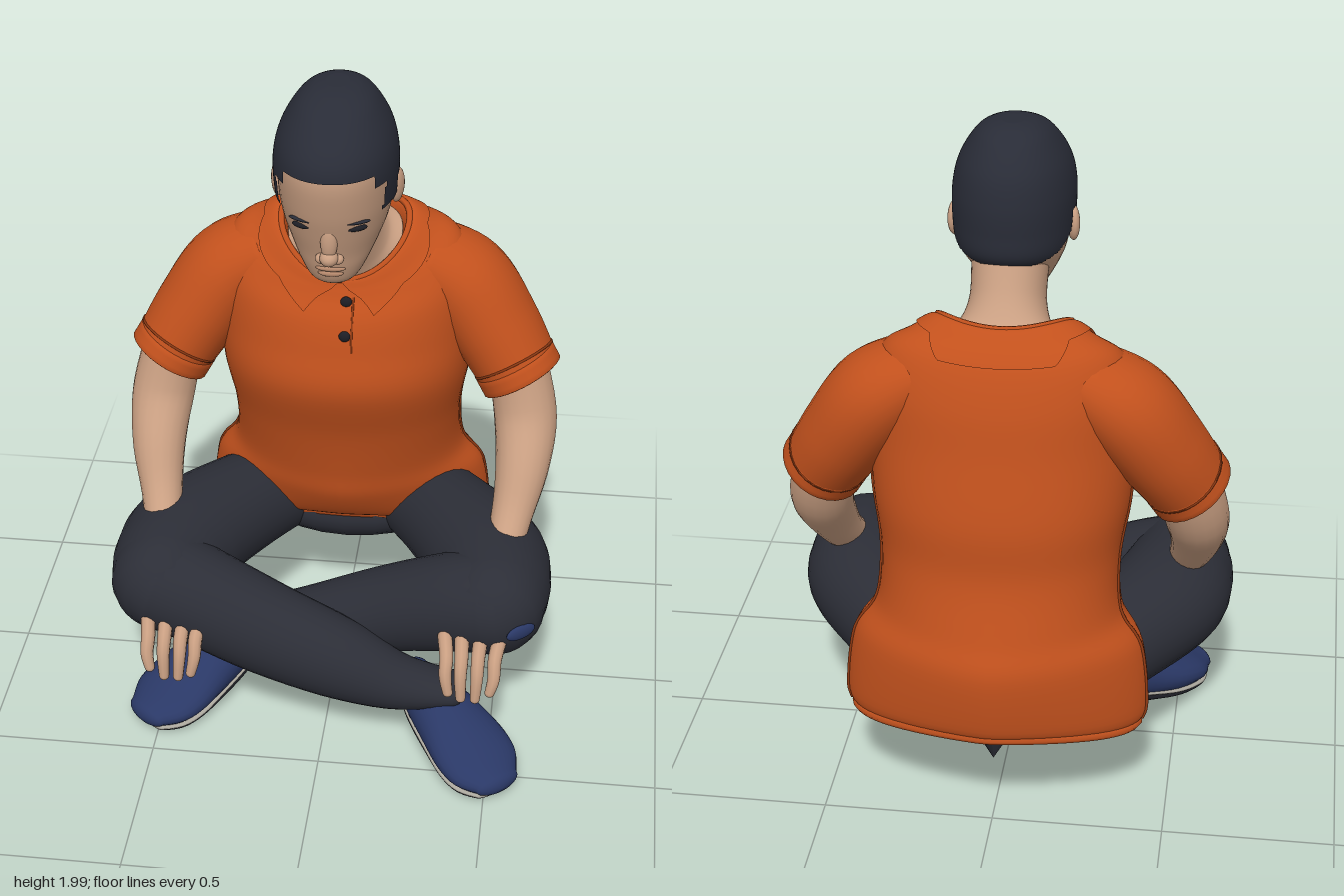
import * as THREE from 'three';

const mat = (name, color, extra) => Object.assign(new THREE.MeshStandardMaterial({ color, ...extra }), { name });

// Catmull-Rom through rows of numbers, u in 0..1
function spline(rows, u) {
  const n = rows.length, s = u * (n - 1), i = Math.min(Math.floor(s), n - 2), f = s - i;
  const at = (k) => rows[Math.max(0, Math.min(n - 1, k))];
  const [a, b, c, d] = [at(i - 1), at(i), at(i + 1), at(i + 2)];
  return b.map((_, k) => b[k] + 0.5 * f * (c[k] - a[k] + f * (2 * a[k] - 5 * b[k] + 4 * c[k] - d[k]
    + f * (3 * (b[k] - c[k]) + d[k] - a[k]))));
}

// Skin closed rings into a smooth surface; keep() can trim faces
function skinRings(rings, keep, capped = true) {
  const m = rings[0].length, n = rings.length, pos = [], idx = [];
  rings.forEach((r) => r.forEach((p) => pos.push(p.x, p.y, p.z)));
  for (let i = 0; i < n - 1; i++) for (let j = 0; j < m; j++) {
    const k = (j + 1) % m, a = i * m + j, b = i * m + k, c = a + m, d = b + m;
    const mid = rings[i][j].clone().add(rings[i + 1][k]).multiplyScalar(0.5);
    if (!keep || keep(mid)) idx.push(a, c, b, b, c, d);
  }
  if (capped) [0, n - 1].forEach((i) => {
    const mid = rings[i].reduce((s, p) => s.add(p), new THREE.Vector3()).divideScalar(m);
    if (keep && !keep(mid)) return;
    const o = pos.length / 3;
    pos.push(mid.x, mid.y, mid.z);
    for (let j = 0; j < m; j++) {
      const a = i * m + j, b = i * m + (j + 1) % m;
      idx.push(o, ...(i ? [b, a] : [a, b]));
    }
  });
  const g = new THREE.BufferGeometry();
  g.setAttribute('position', new THREE.Float32BufferAttribute(pos, 3));
  g.setIndex(idx);
  g.computeVertexNormals();
  return g;
}

// Body section rows: [yFront, zFront, yBack, zBack, halfWidth, sideLift, roundness]
function bodyPoint(rows, u, a, grow = 0) {
  const [yF, zF, yB, zB, w, lift, e] = spline(rows, u);
  const pw = (v) => Math.sign(v) * Math.abs(v) ** e;
  const c = pw(Math.cos(a)), s = pw(Math.sin(a)), t = (1 + s) / 2;
  return new THREE.Vector3((w + grow) * c, yB + (yF - yB) * t + lift * c * c + grow * 0.6,
    zB - grow + (zF - zB + 2 * grow) * t);
}
const turn = (m, f) => Array.from({ length: m }, (_, j) => f(j / m * 2 * Math.PI));
function body(rows, { n = 48, m = 48, grow = 0, keep } = {}) {
  return skinRings(Array.from({ length: n + 1 }, (_, i) => turn(m, (a) => bodyPoint(rows, i / n, a, grow))), keep);
}

// Limb rows: [x, y, z, sideRadius, upRadius], with rounded ends
function limb(rows, { up = [0, 1, 0], cap = 0.9, n = 24, m = 20 } = {}) {
  const U = new THREE.Vector3(...up), rings = [];
  const ring = (u, bulge = 0, shrink = 1) => {
    const [x, y, z, rs, ru] = spline(rows, u);
    const p0 = spline(rows, Math.max(0, u - 0.01)), p1 = spline(rows, Math.min(1, u + 0.01));
    const t = new THREE.Vector3(p1[0] - p0[0], p1[1] - p0[1], p1[2] - p0[2]).normalize();
    const side = t.clone().cross(U).normalize(), v = side.clone().cross(t);
    rings.push(turn(m, (a) => new THREE.Vector3(x, y, z).addScaledVector(t, bulge * Math.min(rs, ru))
      .addScaledVector(side, rs * shrink * Math.cos(a)).addScaledVector(v, ru * shrink * Math.sin(a))));
  };
  const K = 5, q = (k) => (k / K) * Math.PI / 2 * 0.97;
  for (let k = K; k > 0; k--) ring(0, -cap * Math.sin(q(k)), Math.cos(q(k)));
  for (let i = 0; i <= n; i++) ring(i / n);
  for (let k = 1; k <= K; k++) ring(1, cap * Math.sin(q(k)), Math.cos(q(k)));
  return skinRings(rings);
}

const TORSO = [
  [0.43, -0.20, 0.34, -0.58, 0.40, -0.08, 1.25], [0.46, -0.14, 0.38, -0.61, 0.44, -0.06, 1.25],
  [0.56, -0.08, 0.55, -0.62, 0.42, 0, 1.2], [0.66, -0.06, 0.66, -0.58, 0.355, 0, 1.05],
  [0.82, -0.02, 0.82, -0.53, 0.345, 0, 0.95], [1.0, 0.04, 0.98, -0.52, 0.37, 0, 0.95],
  [1.13, 0.02, 1.17, -0.475, 0.375, 0, 0.95], [1.22, -0.005, 1.30, -0.445, 0.37, 0.05, 0.95],
  [1.28, -0.04, 1.41, -0.40, 0.335, 0.065, 0.95], [1.31, -0.055, 1.47, -0.35, 0.26, 0.06, 0.95],
  [1.335, -0.07, 1.50, -0.305, 0.185, 0.062, 0.95], [1.29, -0.10, 1.44, -0.29, 0.165, 0.03, 0.95]];
const NECK = [
  [1.33, -0.08, 1.485, -0.30, 0.168, 0.035, 0.95], [1.375, -0.055, 1.515, -0.265, 0.13, 0.01, 0.95],
  [1.45, -0.01, 1.57, -0.225, 0.108, 0, 0.95], [1.53, 0.03, 1.66, -0.18, 0.108, 0, 0.95]];
const HEAD = [
  [1.435, 0.125, 1.445, 0.06, 0.035, 0, 0.95], [1.455, 0.155, 1.47, 0.01, 0.07, 0, 0.95],
  [1.50, 0.175, 1.53, -0.05, 0.10, 0, 0.95], [1.55, 0.19, 1.60, -0.14, 0.128, 0, 0.95],
  [1.62, 0.215, 1.65, -0.19, 0.15, 0, 0.95], [1.70, 0.24, 1.72, -0.197, 0.16, 0, 0.95],
  [1.80, 0.257, 1.80, -0.195, 0.16, 0, 0.95], [1.87, 0.235, 1.88, -0.175, 0.142, 0, 0.95],
  [1.94, 0.165, 1.95, -0.125, 0.10, 0, 0.95], [1.975, 0.09, 1.98, -0.075, 0.06, 0, 0.95],
  [1.988, 0.03, 1.99, -0.03, 0.02, 0, 0.95]];
const SHOE = [
  [0.26, 0.15, 0.24, 0.055, 0.05], [0.30, 0.135, 0.29, 0.08, 0.08], [0.365, 0.108, 0.37, 0.10, 0.085],
  [0.44, 0.075, 0.455, 0.122, 0.068], [0.495, 0.052, 0.53, 0.115, 0.05], [0.535, 0.042, 0.578, 0.075, 0.035]];
// Lower edge of the collar: [angle from the front, u on the torso]
const COLLAR = [[0, 0.89], [0.26, 0.665], [0.6, 0.77], [1.57, 0.85], [2.35, 0.82], [2.65, 0.74], [3.15, 0.74]];
function collarEdge(a) {
  const d = Math.abs(Math.atan2(Math.sin(a - Math.PI / 2), Math.cos(a - Math.PI / 2)));
  const k = COLLAR.findIndex((c) => c[0] > d), [p, q] = [COLLAR[k - 1], COLLAR[k]];
  return p[1] + (q[1] - p[1]) * (d - p[0]) / (q[0] - p[0]);
}

export function createModel() {
  const model = new THREE.Group();
  const skin = mat('skin', 0xc99f82), lip = mat('lips', 0xb5886c), hair = mat('hair', 0x292c37, { side: THREE.DoubleSide });
  const shirt = mat('shirtOrange', 0xc2511d, { side: THREE.DoubleSide }), seam = mat('shirtSeam', 0x8c3812);
  const pants = mat('pantsCharcoal', 0x2c2e37), dark = mat('darkDetail', 0x1d1e25);
  const shoe = mat('shoeBlue', 0x2a3866), pale = mat('midsoleGrey', 0xaaa69c);
  const add = (name, geo, m) => {
    const mesh = new THREE.Mesh(geo, m);
    mesh.name = name;
    model.add(mesh);
    return mesh;
  };
  const blob = (name, m, p, s, ry = 0) => {
    const b = add(name, new THREE.SphereGeometry(1, 20, 14), m);
    b.position.set(...p); b.scale.set(...s); b.rotation.y = ry;
  };
  const tube = (name, pts, r, m, closed = false) =>
    add(name, new THREE.TubeGeometry(new THREE.CatmullRomCurve3(pts, closed), 80, r, 6, closed), m);

  // Shirt body, folded collar, placket and buttons
  add('shirtBody', body(TORSO, { n: 66, m: 64 }), shirt);
  add('collar', skinRings(Array.from({ length: 15 }, (_, i) => turn(144, (a) => {
    const low = collarEdge(a);
    return bodyPoint(TORSO, low + (0.91 - low) * i / 14, a, 0.007);
  })), null, false), shirt);
  tube('collarRim', turn(40, (a) => bodyPoint(TORSO, 10 / 11, a, 0.002)), 0.01, shirt, true);
  tube('shirtHem', turn(40, (a) => bodyPoint(TORSO, 0.3 / 11, a, 0.004)), 0.014, shirt, true);
  const front = (y) => {
    let u = 0.4;
    while (u < 0.95 && bodyPoint(TORSO, u, Math.PI / 2).y < y) u += 0.002;
    return bodyPoint(TORSO, u, Math.PI / 2);
  };
  tube('placketEdge', [1.29, 1.24, 1.19, 1.14].map((y) => front(y).add(new THREE.Vector3(0.04, 0, -0.003))), 0.004, seam);
  [1.28, 1.19].forEach((y) => {
    const p = front(y);
    blob('button', dark, [0.02, y, p.z + 0.001], [0.017, 0.017, 0.01]);
  });
  [0.12, Math.PI - 0.12].forEach((a) => tube('sideSeam',
    Array.from({ length: 16 }, (_, i) => bodyPoint(TORSO, 0.06 + i / 15 * 0.46, -a, 0.001)), 0.005, seam));

  // Neck, head and hair
  add('neck', body(NECK), skin);
  add('head', body(HEAD), skin);
  add('hair', body(HEAD, {
    n: 120, m: 120, grow: 0.012,
    keep: ({ y, z }) => y > (z > 0.2 ? 1.815 : z > 0.155 ? 1.78 : z > 0.05 ? 1.69 : z > -0.03 ? 1.75 : 1.69 + (z + 0.03) * 0.44),
  }), hair);

  // Face
  blob('noseBridge', skin, [0, 1.61, 0.206], [0.024, 0.06, 0.02]);
  blob('noseTip', skin, [0, 1.558, 0.206], [0.026, 0.024, 0.028]);
  blob('upperLip', lip, [0, 1.508, 0.17], [0.042, 0.01, 0.014]);
  blob('lowerLip', lip, [0, 1.49, 0.165], [0.036, 0.011, 0.014]);
  for (const s of [-1, 1]) {
    blob('nostril', skin, [s * 0.022, 1.55, 0.194], [0.018, 0.015, 0.018]);
    blob('eye', dark, [s * 0.076, 1.652, 0.198], [0.03, 0.009, 0.011], s * 0.45);
    blob('eyebrow', hair, [s * 0.078, 1.672, 0.203], [0.038, 0.005, 0.01], s * 0.45);
    blob('ear', skin, [s * 0.167, 1.695, 0.01], [0.018, 0.052, 0.034], s * -0.3);
  }

  for (const s of [-1, 1]) {
    const side = (rows) => rows.map(([x, ...r]) => [s * x, ...r]);
    const up = [0, 0, 1];
    // Sleeves flow out of the shoulders and end in a doubled cuff
    add('sleeve', limb(side([[0.22, 1.345, -0.245, 0.105, 0.14], [0.345, 1.26, -0.25, 0.137, 0.16],
      [0.445, 1.125, -0.222, 0.133, 0.155], [0.53, 0.99, -0.18, 0.12, 0.135]]), { up, cap: 0.25, m: 28 }), shirt);
    add('cuff', limb(side([[0.508, 1.025, -0.19, 0.126, 0.143], [0.533, 0.983, -0.179, 0.126, 0.141]]), { up, cap: 0.08, n: 3, m: 28 }), shirt);
    add('cuffSeam', limb(side([[0.504, 1.033, -0.193, 0.127, 0.144], [0.507, 1.028, -0.191, 0.127, 0.144]]), { up, cap: 0.02, n: 2, m: 28 }), seam);
    // Bare arms resting through the lap, with curled fingers
    add('arm', limb(side([[0.52, 1.02, -0.18, 0.09, 0.095], [0.55, 0.87, -0.135, 0.094, 0.09],
      [0.55, 0.75, -0.04, 0.08, 0.08], [0.525, 0.62, 0.07, 0.06, 0.06], [0.49, 0.50, 0.24, 0.055, 0.05],
      [0.45, 0.42, 0.34, 0.08, 0.035]]), { up }), skin);
    [0.52, 0.465, 0.41, 0.36].forEach((x, i) => {
      const tip = [0.285, 0.258, 0.258, 0.275][i], dx = (0.44 - x) * 0.12;
      add('finger', limb(side([[x, 0.415, 0.38, 0.024, 0.022], [x + dx, 0.385, 0.435, 0.023, 0.021],
        [x + dx, 0.34, 0.466, 0.02, 0.019], [x + dx * 2, tip + 0.015, 0.48, 0.016, 0.015]]), { up: [1, 0, 0], m: 10, n: 12 }), skin);
    });
    // Thighs
    add('thigh', limb(side([[0.19, 0.43, -0.36, 0.145, 0.135], [0.32, 0.45, -0.18, 0.158, 0.155],
      [0.45, 0.468, 0.03, 0.182, 0.165], [0.487, 0.468, 0.17, 0.172, 0.165], [0.492, 0.466, 0.27, 0.155, 0.158]]), { m: 28 }), pants);
    // Shoes, the one on the +x side sits further forward
    const dz = s > 0 ? 0 : -0.19;
    const foot = (f) => side(SHOE.map(([x, y, z, rs, ru]) => f(x, y, z + dz, rs, ru)));
    add('shoe', limb(foot((x, y, z, rs, ru) => [x, y + 0.008, z, rs, ru]), { m: 24 }), shoe);
    add('midsole', limb(foot((x, y, z, rs, ru) => [x, y - ru * 0.5, z, rs * 0.95, 0.014]), { m: 24 }), pale);
    add('sole', limb(foot((x, y, z, rs, ru) => [x, y - ru * 0.7 + 0.002, z, rs * 0.91, ru * 0.3]), { m: 24 }), dark);
  }
  blob('kneePatch', shoe, [0.58, 0.455, 0.383], [0.05, 0.024, 0.012], 0.67);

  // Crossed shins: one in front, one behind
  add('frontShin', limb([[-0.49, 0.465, 0.26, 0.155, 0.155], [-0.38, 0.43, 0.285, 0.145, 0.15], [-0.18, 0.35, 0.315, 0.132, 0.145],
    [0.05, 0.275, 0.345, 0.115, 0.125], [0.22, 0.22, 0.36, 0.088, 0.085], [0.385, 0.20, 0.35, 0.07, 0.045]], { m: 28 }), pants);
  add('backShin', limb([[0.49, 0.465, 0.26, 0.155, 0.155], [0.38, 0.44, 0.24, 0.145, 0.15], [0.18, 0.36, 0.19, 0.13, 0.13],
    [-0.02, 0.28, 0.16, 0.11, 0.11], [-0.17, 0.225, 0.125, 0.09, 0.085], [-0.28, 0.19, 0.10, 0.075, 0.055]], { m: 28 }), pants);

  // Seat of the trousers and the loose fold under it
  blob('trouserSeat', pants, [0, 0.405, -0.36], [0.32, 0.125, 0.19]);
  const fold = add('seatFold', new THREE.ConeGeometry(0.12, 0.2, 10), pants);
  fold.position.set(0, 0.295, -0.45);
  fold.rotation.x = Math.PI + 0.15;
  return model;
}
